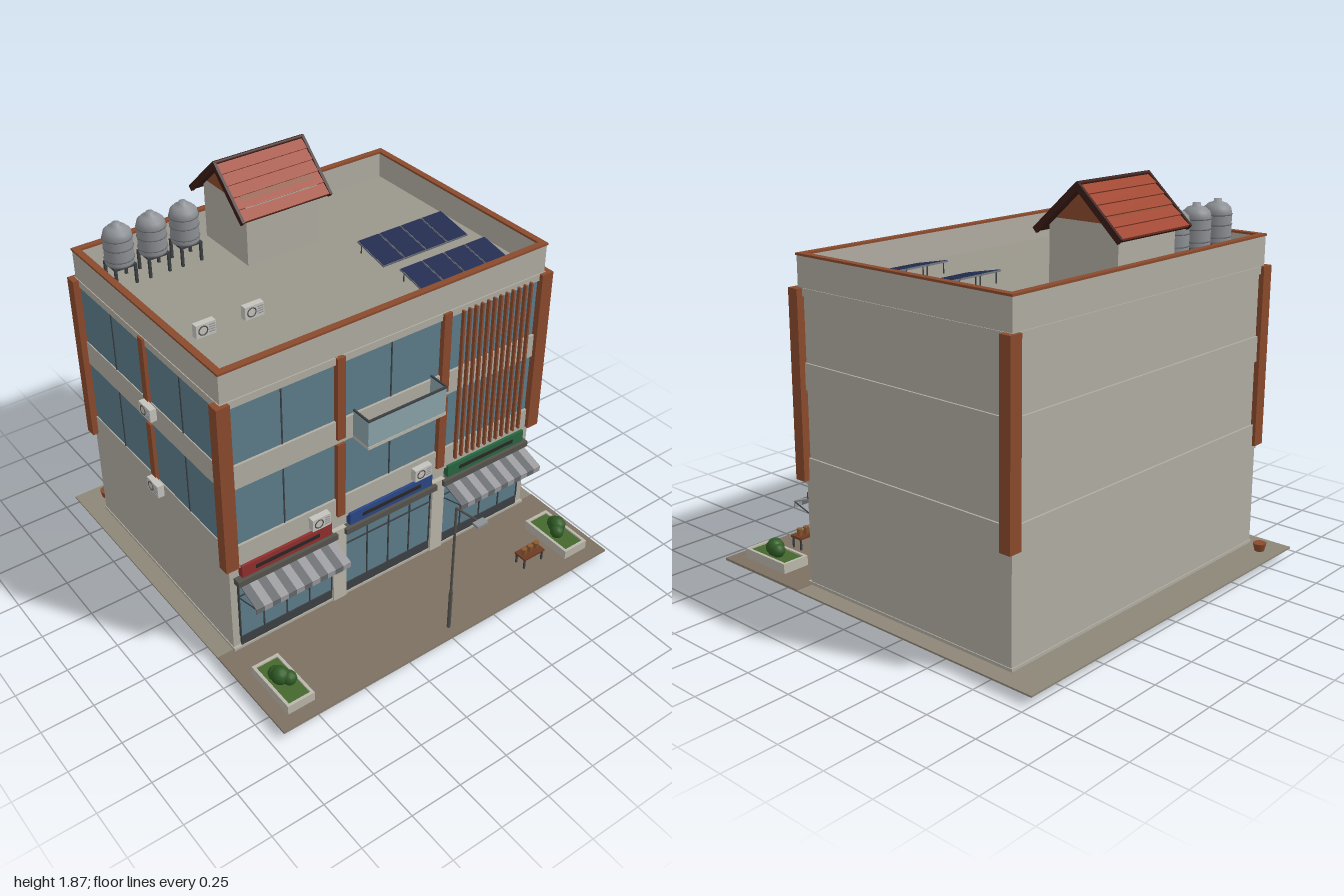
import * as THREE from 'three';

const C = { wall: 0xb0aca1, wallLight: 0xbab6aa, deck: 0x9a968c, brown: 0x8a4a2c, glass: 0x5c7c8a, dark: 0x3c4044,
  fascia: 0x55524d, tile: 0xa0452f, barge: 0x3a1a14, green: 0x2f5a24, metal: 0x8d9094, ac: 0xc4c2bc };
const mats = {};
const mat = (c) => (mats[c] ??= new THREE.MeshStandardMaterial({ color: c }));

export function createModel() {
  const root = new THREE.Group();
  const add = (name, geo, color, parent = root) => {
    const m = new THREE.Mesh(geo, mat(color));
    m.name = name;
    parent.add(m);
    return m;
  };
  // Box given by its extents
  const box = (name, color, x0, x1, y0, y1, z0, z1, parent) => {
    const m = add(name, new THREE.BoxGeometry(x1 - x0, y1 - y0, z1 - z0), color, parent);
    m.position.set((x0 + x1) / 2, (y0 + y1) / 2, (z0 + z1) / 2);
    return m;
  };
  // Round bar between two points
  const rod = (name, color, a, b, r, parent) => {
    const p = new THREE.Vector3(...a), q = new THREE.Vector3(...b), d = q.clone().sub(p);
    const m = add(name, new THREE.CylinderGeometry(r, r, d.length(), 8), color, parent);
    m.position.copy(p).add(q).multiplyScalar(0.5);
    m.quaternion.setFromUnitVectors(new THREE.Vector3(0, 1, 0), d.normalize());
  };
  const group = (name, x, y, z, ry = 0) => {
    const g = new THREE.Group();
    g.name = name;
    g.position.set(x, y, z);
    g.rotation.y = ry;
    root.add(g);
    return g;
  };

  // Ground
  box('ground', 0x8d8678, -0.945, 0.945, 0.036, 0.044, -1, 0.89);
  box('frontPaving', 0x7c7060, -0.945, 0.945, 0.044, 0.047, 0.37, 0.89);

  // Main block and its floor bands
  box('groundFloor', C.wall, -0.86, 0.86, 0.046, 0.53, -0.825, 0.37);
  box('upperFloors', C.wall, -0.855, 0.855, 0.53, 1.4, -0.82, 0.368);
  for (const [y0, y1] of [[0.046, 0.06], [0.525, 0.648], [0.955, 1.075], [1.365, 1.4]])
    box('floorBand', C.wall, -0.864, 0.864, y0, y1, -0.83, 0.386);

  // Roof deck, parapet and coping
  box('roofDeck', C.deck, -0.84, 0.84, 1.4, 1.41, -0.81, 0.37);
  const rim = (name, color, y0, y1, e, t) => {
    for (const s of [-1, 1]) {
      const xo = s * (0.86 + e), xi = s * (0.86 - t);
      box(name, color, Math.min(xo, xi), Math.max(xo, xi), y0, y1, -0.825 - e, 0.38 + e);
    }
    box(name, color, -0.86 + t, 0.86 - t, y0, y1, 0.38 - t, 0.38 + e);
    box(name, color, -0.86 + t, 0.86 - t, y0, y1, -0.825 - e, -0.825 + t);
  };
  rim('parapet', C.wall, 1.4, 1.536, 0, 0.024);
  rim('coping', C.brown, 1.536, 1.546, 0.004, 0.028);

  // Corner columns
  for (const x of [-0.86, 0.86]) for (const z of [-0.817, 0.378])
    box('cornerColumn', C.brown, x - 0.032, x + 0.032, 0.545, 1.4, z - 0.028, z + 0.028);

  // Upper windows on the front and one side
  for (const [y0, y1] of [[0.648, 0.955], [1.075, 1.365]]) {
    box('frontGlass', C.glass, -0.828, 0.828, y0, y1, 0.36, 0.374);
    for (const x of [-0.572, -0.005, 0.567]) box('mullion', C.dark, x - 0.003, x + 0.003, y0, y1, 0.37, 0.378);
    box('sideGlass', C.glass, -0.859, -0.85, y0, y1, -0.79, 0.35);
    for (const z of [-0.505, 0.07]) box('mullion', C.dark, -0.863, -0.85, y0, y1, z - 0.003, z + 0.003);
  }
  for (const [y0, y1] of [[0.555, 0.955], [0.983, 1.4]]) {
    for (const x of [-0.285, 0.285]) box('middleColumn', C.brown, x - 0.021, x + 0.021, y0, y1, 0.365, 0.4);
    box('sideColumn', C.brown, -0.876, -0.85, y0, y1, -0.24, -0.2);
  }

  // Vertical sun fins
  for (let i = 0; i < 12; i++) {
    const x = 0.375 + i * 0.036;
    box('sunFin', C.brown, x - 0.005, x + 0.005, 0.568, 1.38, 0.385, 0.403);
  }

  // Balcony
  box('balconySlab', C.wallLight, -0.215, 0.213, 0.95, 0.966, 0.38, 0.495);
  box('balconyGlass', 0x8aa3aa, -0.213, 0.211, 0.966, 1.098, 0.488, 0.493);
  for (const x of [-0.213, 0.211]) {
    box('balconySideGlass', 0x8aa3aa, x - 0.002, x + 0.002, 0.966, 1.098, 0.386, 0.49);
    box('balconySideRail', C.dark, x - 0.004, x + 0.004, 1.096, 1.104, 0.386, 0.497);
  }
  box('balconyRail', C.dark, -0.215, 0.213, 1.096, 1.104, 0.487, 0.497);

  // Shopfronts with signs
  [[-0.575, 0x8f2f2d], [0, 0x2a4784], [0.57, 0x276640]].forEach(([x, color], i) => {
    const top = i === 1 ? 0.42 : 0.436, w = 0.248;
    box('shopGlass', C.glass, x - w, x + w, 0.11, top, 0.36, 0.376);
    box('shopPlinth', C.dark, x - w, x + w, 0.06, 0.11, 0.36, 0.381);
    for (let k = 0; k <= 4; k++) {
      const mx = x - w + k * w / 2;
      box('shopMullion', C.dark, mx - 0.003, mx + 0.003, 0.11, top, 0.37, 0.381);
    }
    box('transom', C.dark, x - w, x + w, 0.352, 0.358, 0.37, 0.381);
    box('shopFascia', C.fascia, x - 0.264, x + 0.264, 0.436, 0.466, 0.365, 0.41);
    box('signBoard', color, x - 0.237, x + 0.237, 0.474, 0.538, 0.37, 0.4);
    box('signBar', 0x2a2624, x - 0.168, x + 0.168, 0.497, 0.515, 0.4, 0.404);
    if (i === 1) return;
    // Striped awning with valance and stays
    for (let k = 0; k < 12; k++) {
      const c = k % 2 ? 0x96969a : 0x64676a, x0 = x - 0.25 + k * 0.5 / 12;
      const s = box('awningStripe', c, x0, x0 + 0.5 / 12, 0.41, 0.416, 0.377, 0.527);
      s.rotation.x = 0.34;
      box('awningValance', c, x0, x0 + 0.5 / 12, 0.362, 0.39, 0.517, 0.522);
    }
    for (const s of [-0.245, 0.245]) rod('awningStay', C.dark, [x + s, 0.385, 0.518], [x + s, 0.345, 0.38], 0.003);
  });
  for (const x of [-0.289, 0.287]) box('shopPillar', C.wallLight, x - 0.036, x + 0.036, 0.046, 0.47, 0.36, 0.392);

  // Air conditioners on the front, side and roof
  const airConditioner = (x, y, z, ry) => {
    const g = group('airConditioner', x, y, z, ry);
    box('casing', C.ac, -0.048, 0.048, 0, 0.063, -0.016, 0.016, g);
    const fan = add('fanRing', new THREE.TorusGeometry(0.021, 0.003, 6, 16), C.fascia, g);
    fan.position.set(-0.014, 0.032, 0.016);
    for (let k = 0; k < 4; k++) box('grille', C.metal, 0.015, 0.043, 0.015 + k * 0.011, 0.019 + k * 0.011, 0.016, 0.018, g);
  };
  airConditioner(-0.408, 0.562, 0.405, 0);
  airConditioner(0.165, 0.562, 0.405, 0);
  airConditioner(-0.888, 1.02, -0.185, -Math.PI / 2);
  airConditioner(-0.888, 0.6, -0.185, -Math.PI / 2);
  airConditioner(-0.657, 1.42, -0.055, 0);
  airConditioner(-0.418, 1.42, -0.055, 0);

  // Water tanks on stands
  const tankProfile = [[0, 0], [0.064, 0], [0.066, 0.01], [0.066, 0.135], [0.06, 0.158], [0.042, 0.175], [0.018, 0.183], [0.018, 0.195], [0, 0.195]]
    .map(([r, y]) => new THREE.Vector2(r, y));
  for (const x of [-0.717, -0.55, -0.384]) {
    const g = group('waterTank', x, 1.41, -0.655);
    add('tankBody', new THREE.LatheGeometry(tankProfile, 20), C.metal, g).position.y = 0.098;
    for (const y of [0.125, 0.18, 0.225]) {
      const band = add('tankBand', new THREE.TorusGeometry(0.066, 0.003, 6, 20), 0x62666a, g);
      band.rotation.x = Math.PI / 2;
      band.position.y = y;
    }
    box('standTop', C.dark, -0.054, 0.054, 0.088, 0.098, -0.054, 0.054, g);
    for (const sx of [-0.049, 0.049]) for (const sz of [-0.049, 0.049])
      box('standLeg', C.dark, sx - 0.006, sx + 0.006, 0, 0.098, sz - 0.006, sz + 0.006, g);
  }

  // Solar panels
  for (const z of [-0.143, 0.168]) for (let k = 0; k < 4; k++) {
    const g = group('solarPanel', 0.335 + k * 0.125, 1.447, z);
    g.rotation.x = 0.2;
    box('panelFrame', 0x6c7078, -0.06, 0.06, -0.005, 0.003, -0.1, 0.1, g);
    box('panelCells', 0x232c50, -0.057, 0.057, 0, 0.005, -0.097, 0.097, g);
    for (const s of [-0.05, 0.05]) rod('panelLeg', C.dark, [0.335 + k * 0.125 + s, 1.41, z - 0.08], [0.335 + k * 0.125 + s, 1.46, z - 0.08], 0.003);
  }

  // Stair house with gabled tile roof
  box('stairHouse', C.wall, -0.194, 0.192, 1.41, 1.705, -0.79, -0.435);
  const gable = new THREE.Shape([[-0.177, 0], [0.177, 0], [0, 0.15]].map(([x, y]) => new THREE.Vector2(x, y)));
  const gableMesh = add('gable', new THREE.ExtrudeGeometry(gable, { depth: 0.386, bevelEnabled: false }), C.brown);
  gableMesh.rotation.y = Math.PI / 2;
  gableMesh.position.set(-0.194, 1.703, -0.613);
  for (const ry of [0, Math.PI]) {
    const side = group('roofSlope', 0, 1.86, -0.614, ry);
    const slope = new THREE.Group();
    slope.rotation.x = 0.745;
    side.add(slope);
    box('roofBoard', C.barge, -0.23, 0.23, -0.016, -0.006, 0, 0.298, slope);
    for (let k = 0; k < 5; k++) {
      const t = box('tileCourse', C.tile, -0.228, 0.228, -0.008, 0.004, k * 0.059, k * 0.059 + 0.062, slope);
      t.rotation.x = -0.13 + 0.26;
      t.rotation.x *= -0.8;
      box('tileLap', 0x6b2a1d, -0.229, 0.229, -0.008, 0.003, k * 0.059 + 0.052, k * 0.059 + 0.06, slope);
    }
    for (const x of [-0.236, 0.236]) box('bargeBoard', C.barge, x - 0.007, x + 0.007, -0.02, 0.008, -0.005, 0.302, slope);
  }
  rod('ridge', C.barge, [-0.238, 1.86, -0.614], [0.238, 1.86, -0.614], 0.01);

  // Street lamp
  rod('lampPole', C.fascia, [0, 0.046, 0.832], [0, 0.755, 0.832], 0.006);
  rod('lampBase', C.fascia, [0, 0.046, 0.832], [0, 0.27, 0.832], 0.009);
  rod('lampArm', C.fascia, [0, 0.753, 0.832], [0, 0.777, 0.965], 0.005);
  box('lampHead', C.metal, -0.029, 0.029, 0.77, 0.782, 0.965, 1);

  // Planters with clipped bushes
  for (const s of [-1, 1]) {
    const g = group('planter', s * 0.808, 0.046, 0.682);
    for (const e of [-1, 1]) {
      box('planterSide', C.wallLight, e * 0.062 - 0.007, e * 0.062 + 0.007, 0, 0.048, -0.14, 0.14, g);
      box('planterEnd', C.wallLight, -0.055, 0.055, 0, 0.048, e * 0.133 - 0.007, e * 0.133 + 0.007, g);
    }
    box('grass', 0x44682c, -0.055, 0.055, 0, 0.04, -0.126, 0.126, g);
    for (const [x, y, z, r] of [[-0.01, 0.077, 0, 0.043], [0.018, 0.07, 0.03, 0.034], [-0.017, 0.07, -0.028, 0.034]])
      add('bush', new THREE.SphereGeometry(r, 10, 8), C.green, g).position.set(x * -s, y, z - 0.005);
  }

  // Bench with three small pots
  box('benchSeat', 0x6e3a22, 0.53, 0.658, 0.1, 0.11, 0.69, 0.76);
  for (const x of [0.538, 0.65]) for (const z of [0.698, 0.752]) box('benchLeg', C.dark, x - 0.004, x + 0.004, 0.046, 0.1, z - 0.004, z + 0.004);
  for (const x of [0.555, 0.594, 0.633])
    add('smallPot', new THREE.CylinderGeometry(0.015, 0.011, 0.034, 10), 0x8a5a30).position.set(x, 0.127, 0.725);

  // Rear pot with drooping leaves
  const pot = group('rearPot', -0.81, 0, -0.912);
  add('pot', new THREE.CylinderGeometry(0.032, 0.023, 0.038, 10), 0x8a4a2c, pot).position.y = 0.064;
  for (let k = 0; k < 8; k++) {
    const leaf = add('leaf', new THREE.ConeGeometry(0.009, 0.06, 4), C.green, pot);
    const a = k * Math.PI / 4, d = new THREE.Vector3(Math.cos(a), k % 2 ? -0.7 : -1, Math.sin(a)).normalize();
    leaf.quaternion.setFromUnitVectors(new THREE.Vector3(0, 1, 0), d);
    leaf.position.set(0, 0.045, 0).addScaledVector(d, 0.034);
  }
  return root;
}
